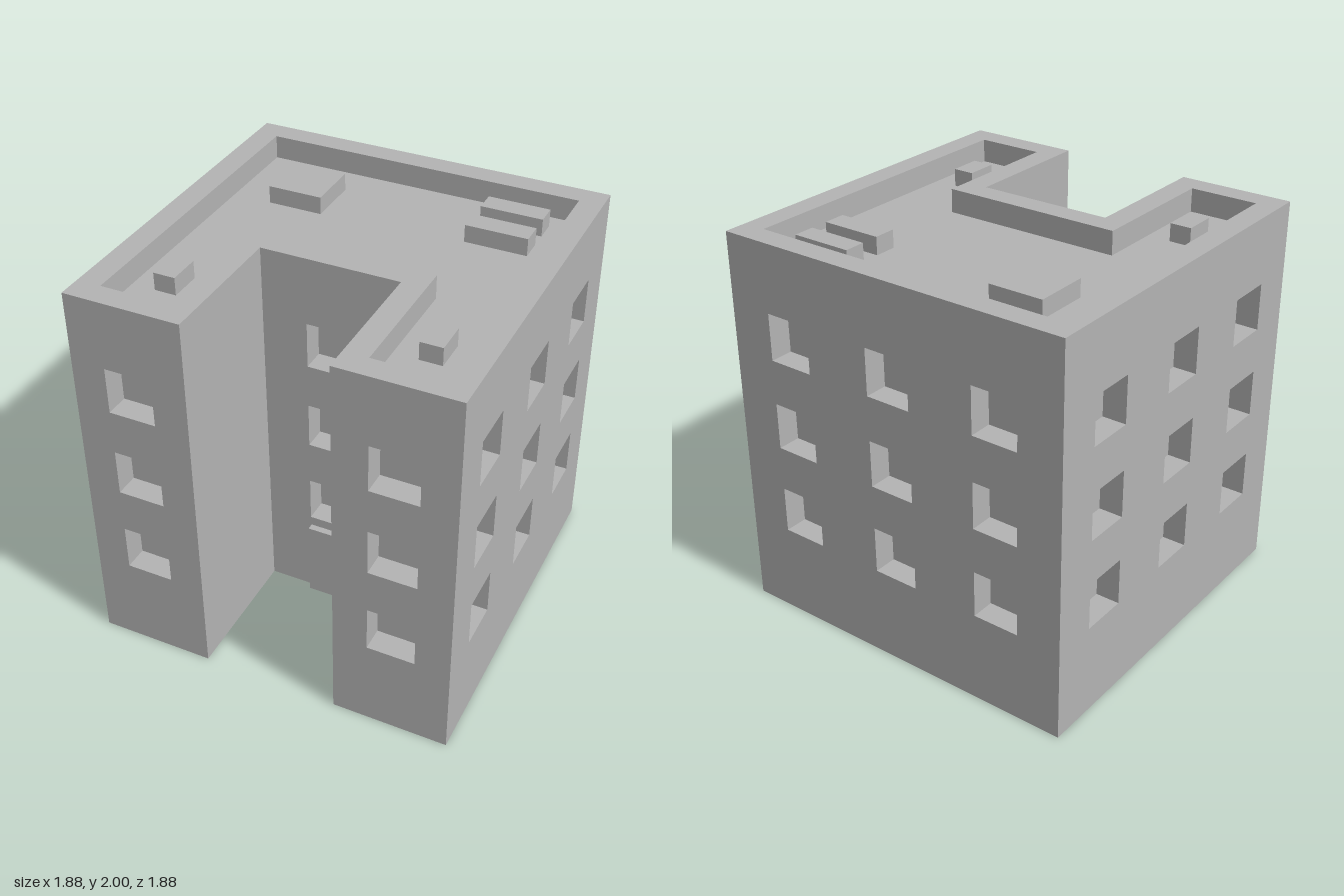
import * as THREE from 'three';

const HEIGHT = 2, HALF = 0.94, COURT_X = 0.35, COURT_Z = 0.23;
const WALL = 0.12, ROOF = 1.88, WINDOW = 0.24;
const FLOORS = [0.59, 1.06, 1.53]; // window centre heights

export function createModel() {
  const building = new THREE.Group();
  building.name = 'building';
  const concrete = new THREE.MeshStandardMaterial({ color: 0xb3b3b3 });
  concrete.name = 'grey concrete';

  const add = (name, geometry) => {
    const mesh = new THREE.Mesh(geometry, concrete);
    mesh.name = name;
    building.add(mesh);
    return mesh;
  };

  // Box standing on y, given by its x and z ranges
  const box = (name, x0, x1, z0, z1, y, h) =>
    add(name, new THREE.BoxGeometry(x1 - x0, h, z1 - z0))
      .position.set((x0 + x1) / 2, y + h / 2, (z0 + z1) / 2);

  // Wall slab with window openings; its outer face lies at (x, z), turned by angle
  const wall = (name, length, columns, x, z, angle) => {
    const shape = new THREE.Shape([
      new THREE.Vector2(-length / 2, 0), new THREE.Vector2(length / 2, 0),
      new THREE.Vector2(length / 2, HEIGHT), new THREE.Vector2(-length / 2, HEIGHT),
    ]);
    const r = WINDOW / 2;
    for (const c of columns) for (const y of FLOORS) {
      shape.holes.push(new THREE.Path([
        new THREE.Vector2(c - r, y - r), new THREE.Vector2(c - r, y + r),
        new THREE.Vector2(c + r, y + r), new THREE.Vector2(c + r, y - r),
      ]));
    }
    const geometry = new THREE.ExtrudeGeometry(shape, { depth: WALL, bevelEnabled: false });
    geometry.translate(0, 0, -WALL);
    const mesh = add(name, geometry);
    mesh.position.set(x, 0, z);
    mesh.rotation.y = angle;
  };

  // U-shaped core: forms the roof deck and the backs of the window recesses
  const a = HALF - WALL, b = COURT_X + WALL, c = COURT_Z - WALL;
  const plan = new THREE.Shape([
    [-a, -a], [-b, -a], [-b, -c], [b, -c], [b, -a], [a, -a], [a, a], [-a, a],
  ].map(([x, y]) => new THREE.Vector2(x, y)));
  const core = new THREE.ExtrudeGeometry(plan, { depth: ROOF, bevelEnabled: false });
  core.rotateX(-Math.PI / 2);
  add('coreAndRoof', core);

  // Outer walls rise past the roof as a parapet
  const columns = [-0.59, 0, 0.59];
  wall('backWall', 2 * HALF, columns, 0, -HALF, Math.PI);
  wall('courtyardBackWall', 2 * b, [0], 0, COURT_Z, 0);
  for (const [side, s] of [['left', 1], ['right', -1]]) {
    wall(side + 'SideWall', 2 * a, columns, s * HALF, 0, s * Math.PI / 2);
    wall(side + 'WingFrontWall', HALF - COURT_X, [0], s * (HALF + COURT_X) / 2, HALF, 0);
    wall(side + 'CourtyardSideWall', a - COURT_Z, [], s * COURT_X, (a + COURT_Z) / 2, -s * Math.PI / 2);
    // Small vent on each wing
    const vx = s * 0.645;
    box(side + 'RoofVent', vx - 0.055, vx + 0.055, 0.42, 0.585, ROOF, 0.09);
  }

  // Entrance door in the courtyard
  box('door', -0.117, 0.117, COURT_Z, 0.265, 0, 0.42);

  // Rooftop equipment
  box('roofHatch', -0.62, -0.34, -0.645, -0.365, ROOF, 0.09);
  box('rearRoofUnit', 0.395, 0.71, -0.73, -0.62, ROOF, 0.09);
  box('frontRoofUnit', 0.395, 0.71, -0.53, -0.415, ROOF, 0.09);

  return building;
}
